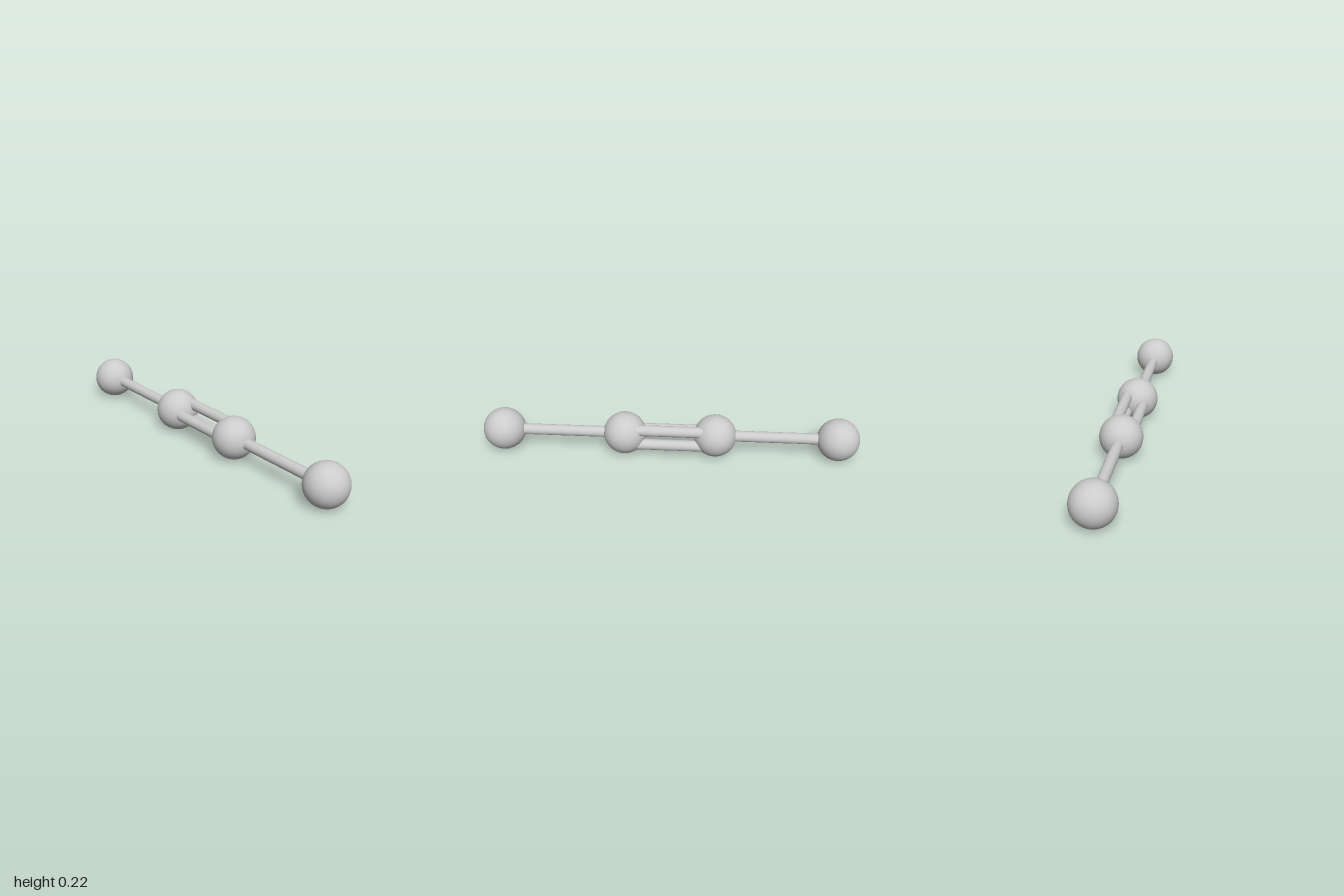
import * as THREE from 'three';

const R = 0.112;      // atom radius, also height of the axis
const ROD = 0.029;    // bond radius
const INNER = 0.24;   // x of the inner atoms
const OUTER = 1 - R;  // x of the outer atoms

export function createModel() {
  const model = new THREE.Group();
  model.name = 'linearMolecule';
  const material = new THREE.MeshStandardMaterial({ color: 0xcccccc });

  const add = (name, geometry, x, y, z) => {
    const mesh = new THREE.Mesh(geometry, material);
    mesh.name = name;
    mesh.position.set(x, y, z);
    model.add(mesh);
  };
  const rod = (length) => new THREE.CylinderGeometry(ROD, ROD, length, 32).rotateZ(Math.PI / 2);

  // Atoms and single bonds, mirrored left and right
  const ball = new THREE.SphereGeometry(R, 48, 32);
  const singleBond = rod(OUTER - INNER);
  for (const [side, s] of [['left', 1], ['right', -1]]) {
    add(side + 'OuterAtom', ball, s * OUTER, R, 0);
    add(side + 'InnerAtom', ball, s * INNER, R, 0);
    add(side + 'SingleBond', singleBond, s * (OUTER + INNER) / 2, R, 0);
  }

  // Triple bond: one rod in front, two behind it above and below
  const d = 0.043;
  const tripleBond = rod(2 * INNER);
  add('tripleBondFront', tripleBond, 0, R, d);
  add('tripleBondUpper', tripleBond, 0, R + d, -d);
  add('tripleBondLower', tripleBond, 0, R - d, -d);

  return model;
}
